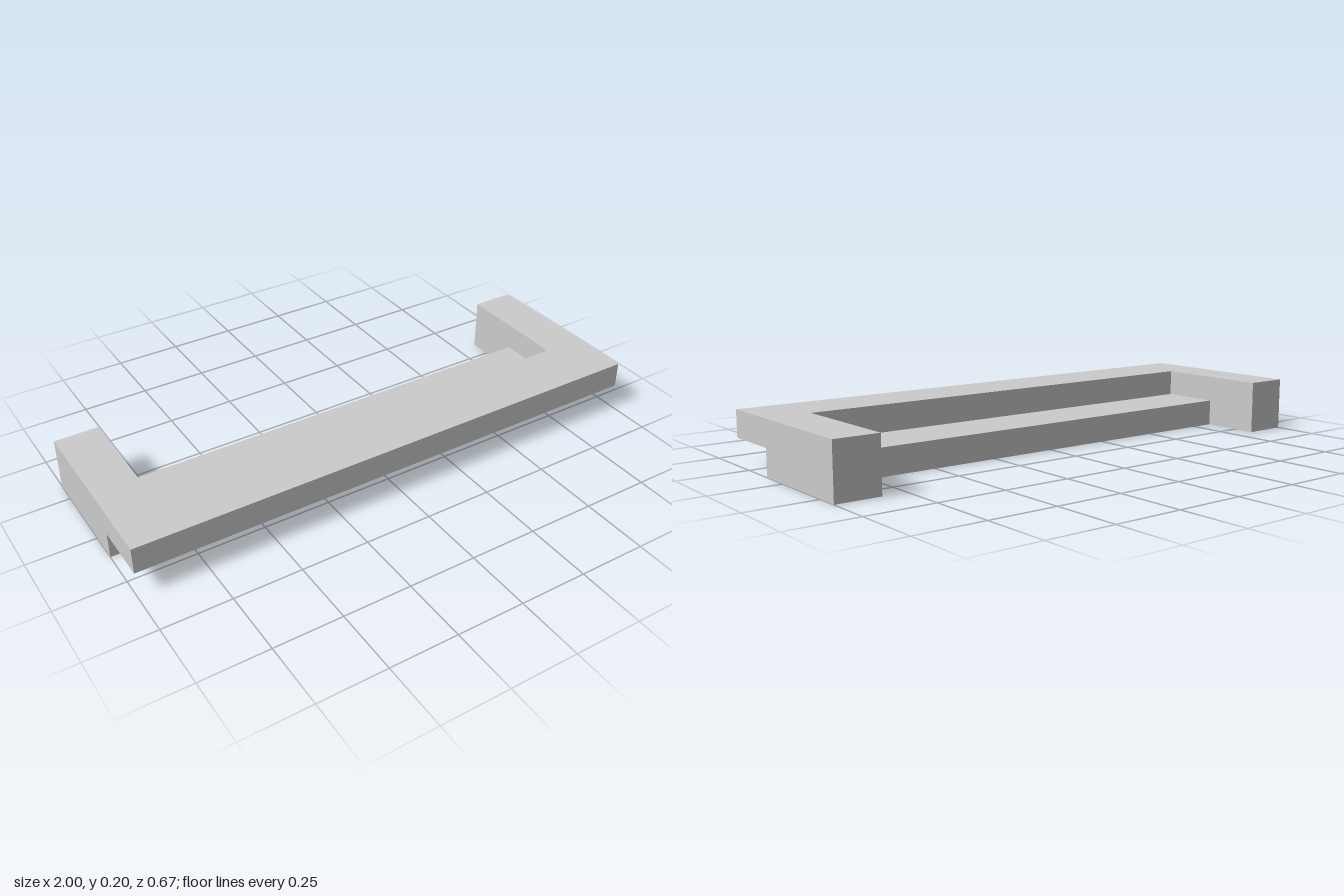
import * as THREE from 'three';

const H = 0.195;      // full height
const M = 0.098;      // underside of the front ledge
const D = 0.333;      // half depth
const B = 0.112;      // half depth of the lower tray
const IN = 0.837;     // inner face of the arms
const SK = 0.227;     // front face of the skirt
const SK_R = -0.893, SK_L = 0.877; // ends of the skirt

const mat = new THREE.MeshStandardMaterial({ color: 0xcccccc, flatShading: true, side: THREE.DoubleSide });

function add(group, name, geometry, x, y, z) {
  const mesh = new THREE.Mesh(geometry, mat);
  mesh.name = name;
  mesh.position.set(x, y, z);
  group.add(mesh);
}

// Thin panels given by their extents; dir turns the face outwards
function panelX(group, name, x, y0, y1, z0, z1, dir) {
  const g = new THREE.PlaneGeometry(z1 - z0, y1 - y0).rotateY(dir * Math.PI / 2);
  add(group, name, g, x, (y0 + y1) / 2, (z0 + z1) / 2);
}
function panelY(group, name, y, x0, x1, z0, z1) {
  const g = new THREE.PlaneGeometry(x1 - x0, z1 - z0).rotateX(-Math.PI / 2);
  add(group, name, g, (x0 + x1) / 2, y, (z0 + z1) / 2);
}
function panelZ(group, name, z, x0, x1, y0, y1, dir) {
  const g = new THREE.PlaneGeometry(x1 - x0, y1 - y0);
  if (dir < 0) g.rotateY(Math.PI);
  add(group, name, g, (x0 + x1) / 2, (y0 + y1) / 2, z);
}

export function createModel() {
  const model = new THREE.Group();
  model.name = 'tray';

  // Closed ledge along the front
  add(model, 'frontLedge', new THREE.BoxGeometry(2, H - M, D - B), 0, (H + M) / 2, (D + B) / 2);

  // Arms running back, hollow and open below
  for (const s of [1, -1]) {
    const arm = new THREE.Group();
    arm.name = s > 0 ? 'leftArm' : 'rightArm';
    const x0 = Math.min(s * IN, s), x1 = Math.max(s * IN, s);
    const end = s > 0 ? SK_L : SK_R;
    panelY(arm, 'armTop', H, x0, x1, -D, B);
    panelX(arm, 'armOuterWall', s, 0, H, -D, B, s);
    panelX(arm, 'armInnerWall', s * IN, 0, H, -D, -B, -s);
    panelX(arm, 'armInnerUpperWall', s * IN, M, H, -B, B, -s);
    panelZ(arm, 'armRearWall', -D, x0, x1, 0, H, -1);
    panelZ(arm, 'armFrontWall', B, Math.min(end, s), Math.max(end, s), 0, M, 1);
    model.add(arm);
  }

  // Low crossbar between the arms, open below
  const bar = new THREE.Group();
  bar.name = 'crossbar';
  panelY(bar, 'crossbarTop', M, -IN, IN, -B, B);
  panelZ(bar, 'crossbarRearWall', -B, -IN, IN, 0, M, -1);
  model.add(bar);

  // Recessed skirt under the ledge
  const skirt = new THREE.Group();
  skirt.name = 'frontSkirt';
  panelZ(skirt, 'skirtFrontWall', SK, SK_R, SK_L, 0, M, 1);
  panelX(skirt, 'skirtLeftEnd', SK_L, 0, M, B, SK, 1);
  panelX(skirt, 'skirtRightEnd', SK_R, 0, M, B, SK, -1);
  model.add(skirt);

  return model;
}
